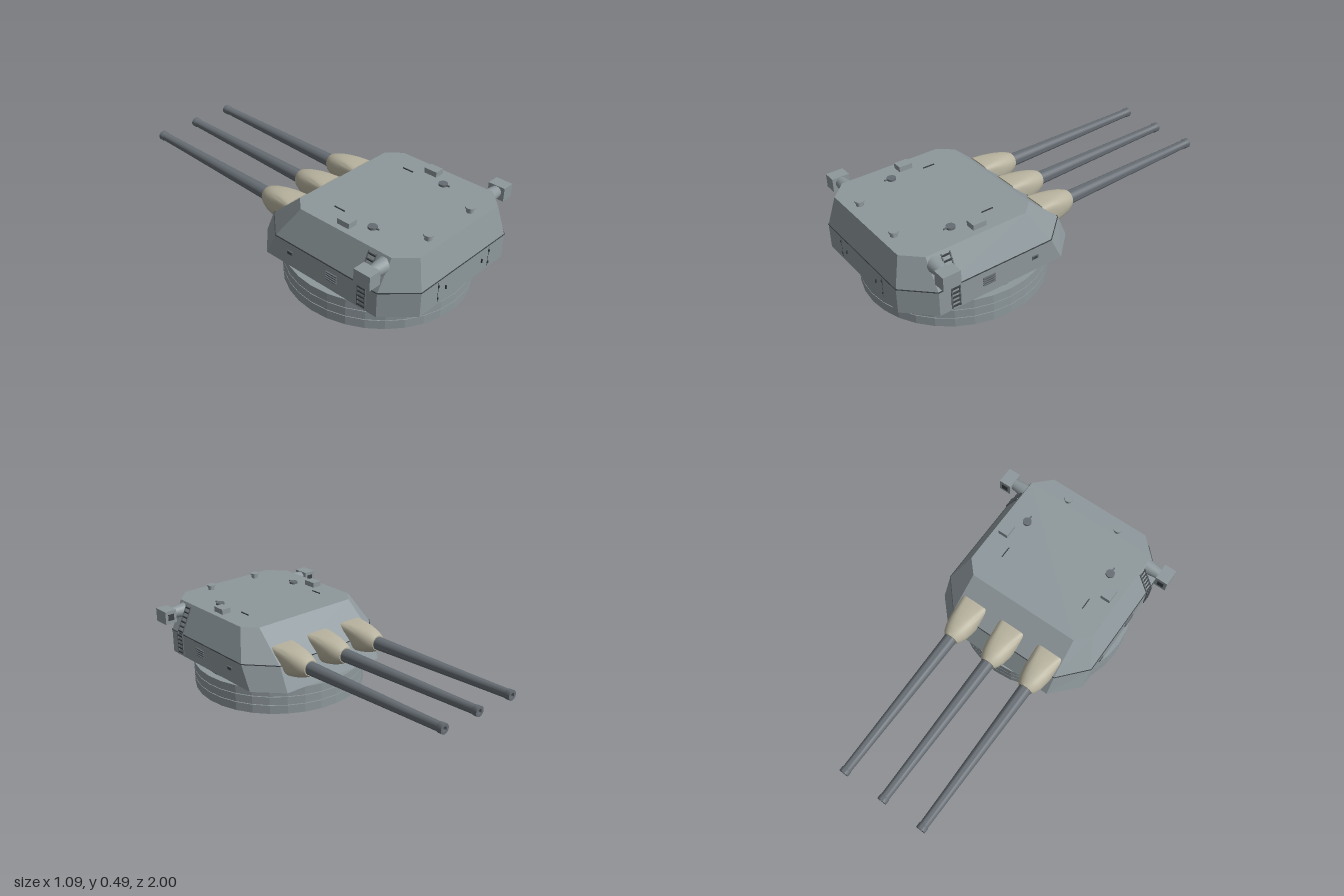
import * as THREE from 'three';
import { toCreasedNormals } from 'three/addons/utils/BufferGeometryUtils.js';

const mat = (color) => new THREE.MeshStandardMaterial({ color, roughness: 0.8 });
const armour = mat(0x8e989c), steel = mat(0x666d73), canvas = mat(0xb8b39f), dark = mat(0x3c4144);
const V = (x, y, z) => new THREE.Vector3(x, y, z);

// Closed skin over rings of points, with end caps and creased edges
function loft(rings, crease) {
  const n = rings[0].length, pos = rings.flat(2), idx = [];
  for (let i = 0; i < rings.length - 1; i++) {
    for (let j = 0; j < n; j++) {
      const a = i * n + j, b = i * n + (j + 1) % n;
      idx.push(a, b, b + n, a, b + n, a + n);
    }
  }
  const last = (rings.length - 1) * n;
  for (let j = 1; j < n - 1; j++) idx.push(0, j + 1, j, last, last + j, last + j + 1);
  const g = new THREE.BufferGeometry();
  g.setAttribute('position', new THREE.Float32BufferAttribute(pos, 3));
  g.setIndex(idx);
  return toCreasedNormals(g, crease);
}

// Chamfered turret outline: half width, rear and front edges
const outline = (y, hx, rearX, rearZ, rearSide, frontX, frontZ, frontSide) => [
  [hx, y, rearSide], [hx, y, frontSide], [frontX, y, frontZ], [-frontX, y, frontZ],
  [-hx, y, frontSide], [-hx, y, rearSide], [-rearX, y, rearZ], [rearX, y, rearZ],
];

export function createModel() {
  const model = new THREE.Group();
  const add = (name, geo, m, x = 0, y = 0, z = 0, parent = model) => {
    const mesh = new THREE.Mesh(geo, m);
    mesh.name = name;
    mesh.position.set(x, y, z);
    parent.add(mesh);
    return mesh;
  };
  const box = (name, w, h, d, m, x, y, z) => add(name, new THREE.BoxGeometry(w, h, d), m, x, y, z);
  const drum = (name, rt, rb, h, n, m, x, y, z) =>
    add(name, toCreasedNormals(new THREE.CylinderGeometry(rt, rb, h, n), n > 24 ? 0.1 : 0.8), m, x, y, z);
  // Thin bar between two points
  const bar = (name, a, b, t, m) => {
    const mesh = add(name, new THREE.BoxGeometry(t, t, a.distanceTo(b)), m);
    mesh.position.copy(a).lerp(b, 0.5);
    mesh.lookAt(b);
    return mesh;
  };

  // Round base: three bands with grooves, then the turning neck
  const baseZ = 0.465;
  drum('baseCore', 0.482, 0.482, 0.146, 32, dark, 0, 0.074, baseZ);
  for (const [y0, y1] of [[0, 0.049], [0.053, 0.099], [0.103, 0.15]])
    drum('baseBand', 0.49, 0.49, y1 - y0, 32, armour, 0, (y0 + y1) / 2, baseZ);
  drum('neck', 0.45, 0.45, 0.03, 32, steel, 0, 0.16, baseZ);

  // Armoured gun house
  add('gunHouse', loft([
    outline(0.167, 0.465, 0.325, 0.99, 0.85, 0.33, -0.015, 0.13),
    outline(0.30, 0.465, 0.325, 0.99, 0.85, 0.33, 0.04, 0.195),
    outline(0.462, 0.388, 0.298, 0.95, 0.86, 0.32, 0.22, 0.295),
  ], 0.02), armour);

  // Seam around the widest line
  const seam = outline(0.302, 0.465, 0.325, 0.99, 0.85, 0.33, 0.042, 0.195);
  seam.forEach((p, i) => bar('seam', V(...p), V(...seam[(i + 1) % 8]), 0.004, dark));

  // Guns: barrel with bore and muzzle ring, plus canvas cover
  const barrelProfile = [[0.04, 0], [0.037, 0.2], [0.033, 0.45], [0.026, 0.92], [0.024, 1.1],
    [0.027, 1.105], [0.027, 1.13], [0.013, 1.13], [0.013, 1.06], [0, 1.06]]
    .map(([r, l]) => new THREE.Vector2(r, l));
  const barrelGeo = toCreasedNormals(new THREE.LatheGeometry(barrelProfile, 24), 0.6);
  // Cover sections: z, half width, bottom, top, squareness
  const cover = [
    [-0.10, 0.042, 0.272, 0.356, 1], [-0.085, 0.053, 0.260, 0.364, 0.95],
    [-0.05, 0.066, 0.247, 0.375, 0.85], [0, 0.074, 0.24, 0.383, 0.7],
    [0.06, 0.077, 0.24, 0.386, 0.5], [0.125, 0.08, 0.245, 0.384, 0.35],
  ].map(([z, w, b, t, e]) => Array.from({ length: 28 }, (_, i) => {
    const a = i / 28 * Math.PI * 2, c = Math.cos(a), s = Math.sin(a);
    const q = (v) => Math.sign(v) * Math.abs(v) ** e;
    return [w * q(c), (b + t) / 2 + (t - b) / 2 * q(s), z];
  }));
  const coverGeo = loft(cover, 0.7);
  for (const x of [-0.243, 0, 0.243]) {
    const gun = new THREE.Group();
    gun.name = 'gun';
    gun.position.x = x;
    model.add(gun);
    add('barrel', barrelGeo, steel, 0, 0.309, 0.13, gun).rotation.x = -Math.PI / 2 + 0.017;
    add('canvasCover', coverGeo, canvas, 0, 0, 0, gun);
  }

  for (const s of [1, -1]) {
    // Rangefinder arm, head and window
    const arm = drum('rangefinderArm', 0.03, 0.046, 0.13, 16, armour, s * 0.415, 0.412, 0.825);
    arm.rotation.z = -s * Math.PI / 2;
    box('rangefinderHead', 0.07, 0.075, 0.095, armour, s * 0.51, 0.408, 0.825);
    box('rangefinderWindow', 0.036, 0.036, 0.004, dark, s * 0.51, 0.408, 0.777);

    // Ladder following the side wall
    const wall = (y) => s * (0.471 - Math.max(0, y - 0.30) * 0.475);
    for (const z of [0.74, 0.785]) {
      bar('ladderRail', V(wall(0.18), 0.18, z), V(wall(0.3), 0.3, z), 0.006, steel);
      bar('ladderRail', V(wall(0.3), 0.3, z), V(wall(0.45), 0.45, z), 0.006, steel);
    }
    for (let y = 0.19; y < 0.45; y += 0.025)
      bar('ladderRung', V(wall(y), y, 0.74), V(wall(y), y, 0.785), 0.007, dark);

    // Side louvre and sighting port
    box('louvreBack', 0.004, 0.045, 0.06, dark, s * 0.465, 0.243, 0.573);
    for (let i = 0; i < 4; i++)
      box('louvreSlat', 0.012, 0.005, 0.07, steel, s * 0.467, 0.225 + i * 0.013, 0.573);
    box('sightPort', 0.01, 0.02, 0.038, steel, s * 0.465, 0.246, 0.298);
    box('sightSlot', 0.012, 0.012, 0.024, dark, s * 0.465, 0.246, 0.298);

    // Roof fittings: sight hood, hatch, vents and grab rails
    box('sightHood', 0.055, 0.032, 0.075, armour, s * 0.328, 0.475, 0.538);
    drum('roofHatch', 0.024, 0.024, 0.012, 16, steel, s * 0.268, 0.467, 0.645);
    bar('hatchHandle', V(s * 0.268, 0.469, 0.655), V(s * 0.268, 0.469, 0.685), 0.007, steel);
    drum('ventStem', 0.019, 0.019, 0.025, 16, armour, s * 0.16, 0.472, 0.885);
    drum('ventCap', 0.025, 0.025, 0.008, 16, armour, s * 0.16, 0.487, 0.885);
    bar('grabRail', V(s * 0.258, 0.465, 0.395), V(s * 0.258, 0.465, 0.46), 0.005, dark);

    // Rear door: seam, hinges and handle
    box('doorSeam', 0.002, 0.11, 0.002, dark, s * 0.198, 0.235, 0.99);
    for (const y of [0.202, 0.27]) box('doorHinge', 0.007, 0.012, 0.008, dark, s * 0.198, y, 0.991);
    box('doorHandle', 0.006, 0.02, 0.01, dark, s * 0.142, 0.238, 0.992);
  }
  return model;
}
